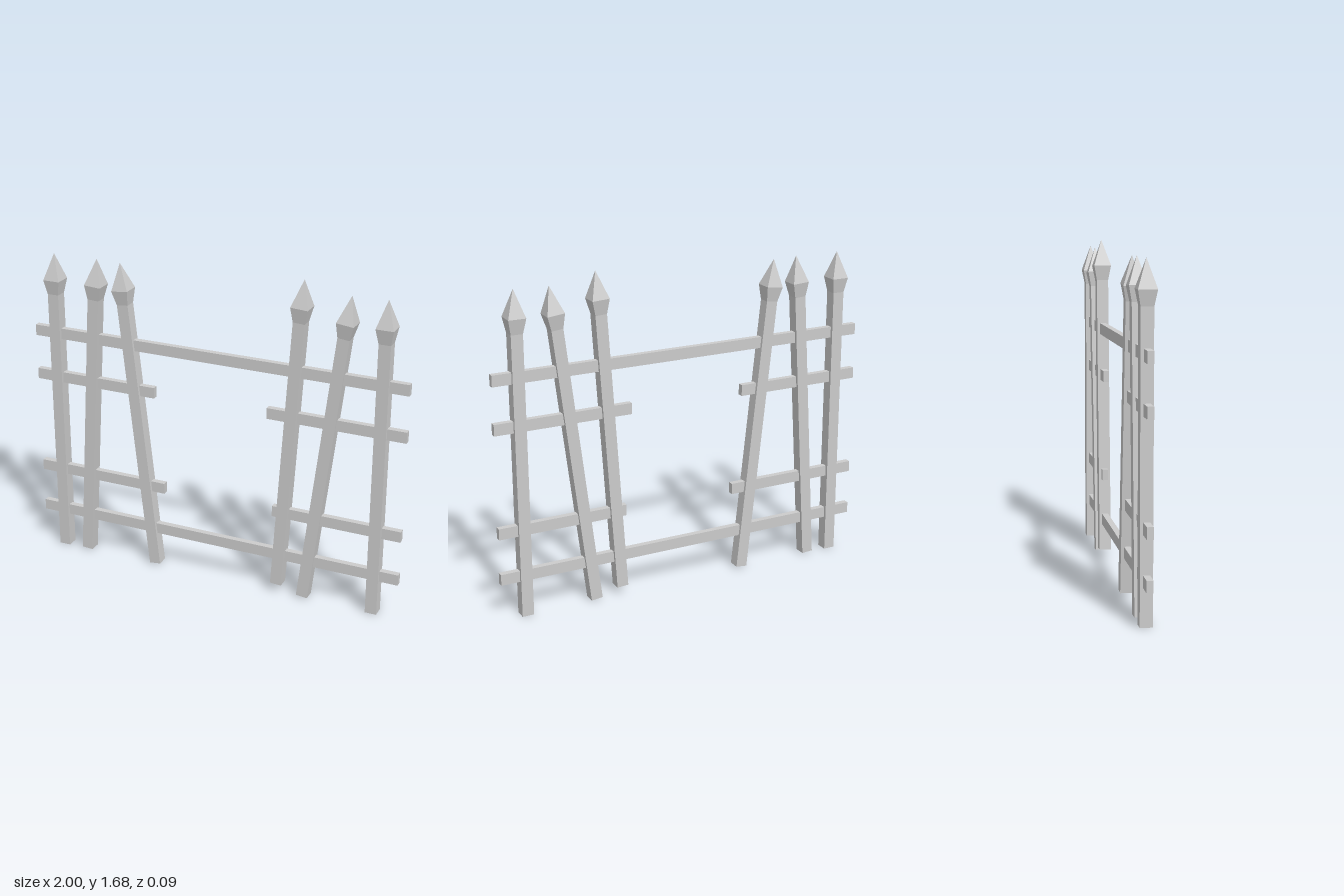
import * as THREE from 'three';

export function createModel() {
  const group = new THREE.Group();
  group.name = 'brokenFence';
  const material = new THREE.MeshStandardMaterial({ color: 0xcccccc, flatShading: true });

  // Square picket with a flared, pointed head: a four-sided lathe
  const profile = [[0, 0], [0.03, 0], [0.03, 1.43], [0.044, 1.505], [0, 1.64]]
    .map(([half, y]) => new THREE.Vector2(half * Math.SQRT2, y));
  const picketGeometry = new THREE.LatheGeometry(profile, 4, Math.PI / 4);

  // Pickets: foot x, foot y, tip x, tip y
  const pickets = [
    [-0.88, 0, -0.88, 1.64],
    [-0.74, 0.005, -0.637, 1.64],
    [-0.33, 0.007, -0.507, 1.637],
    [0.36, 0.045, 0.463, 1.682],
    [0.503, 0.007, 0.698, 1.637],
    [0.873, 0, 0.873, 1.64],
  ];
  pickets.forEach(([x0, y0, x1, y1], i) => {
    const picket = new THREE.Mesh(picketGeometry, material);
    picket.name = `picket${i + 1}`;
    picket.position.set(x0, y0, 0);
    picket.rotation.z = -Math.atan2(x1 - x0, y1 - y0);
    group.add(picket);
  });

  // Rails: start x, end x, centre height; the middle ones are broken off
  const rails = [
    ['bottomRail', -1, 1, 0.212],
    ['lowerRailRight', -1, -0.275, 0.452],
    ['lowerRailLeft', 0.327, 1, 0.452],
    ['upperRailRight', -1, -0.325, 0.98],
    ['upperRailLeft', 0.29, 1, 0.98],
    ['topRail', -1, 1, 1.22],
  ];
  for (const [name, x0, x1, y] of rails) {
    const rail = new THREE.Mesh(new THREE.BoxGeometry(x1 - x0, 0.057, 0.031), material);
    rail.name = name;
    rail.position.set((x0 + x1) / 2, y, 0);
    group.add(rail);
  }
  return group;
}
